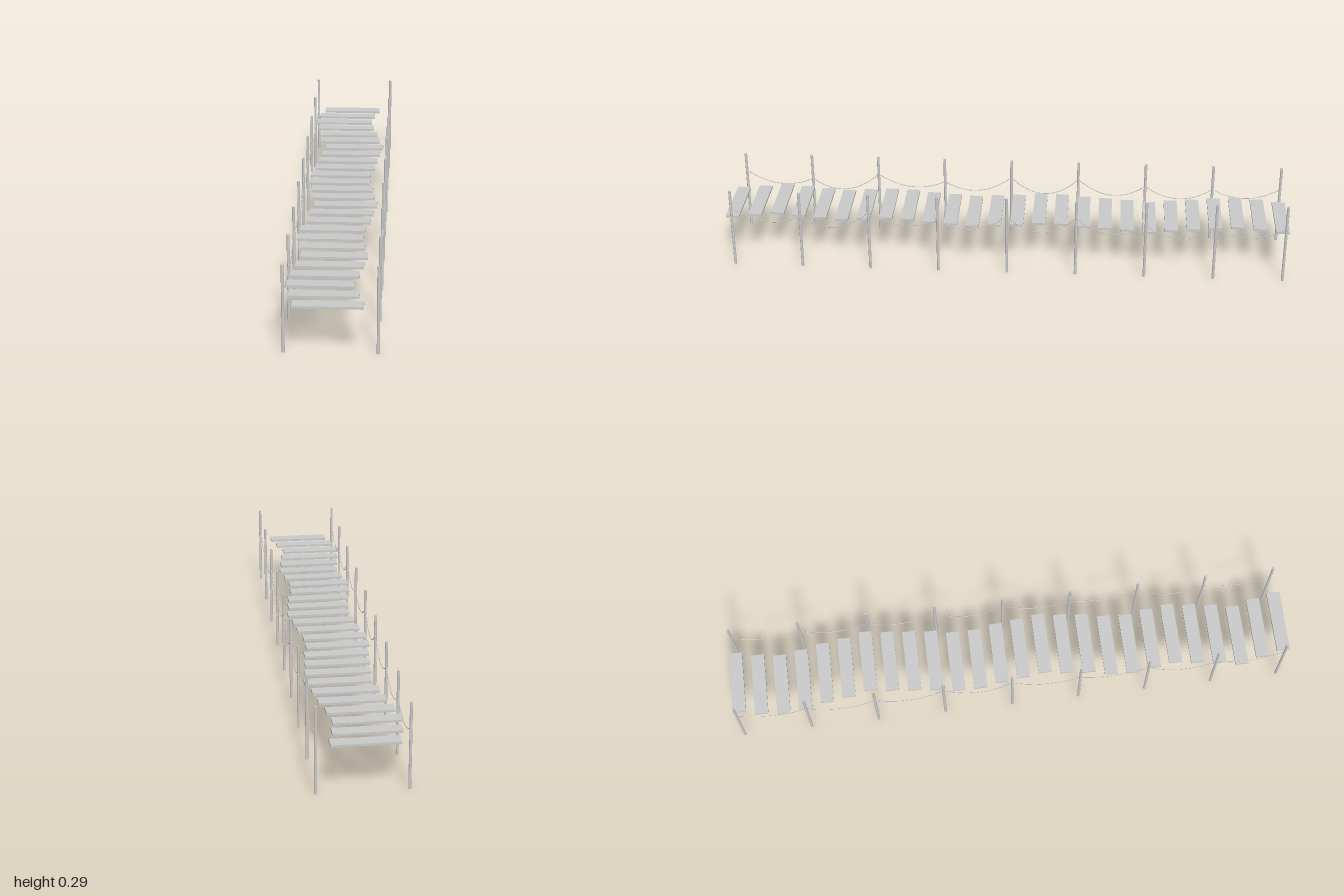
import * as THREE from 'three';

const material = new THREE.MeshStandardMaterial({ color: 0xcccccc });
const flat = new THREE.MeshStandardMaterial({ color: 0xcccccc, flatShading: true });

const POST_X = 0.147, POST_H = 0.295, POST_COUNT = 9;
const postZ = (i) => 0.968 - i * 0.2438;

// Sideways shift of each plank, from back to front
const SHIFTS = [-0.008, -0.024, -0.034, -0.024, -0.008, 0.002, 0.018, 0.008, 0, -0.008, -0.021, -0.021, -0.008,
  0, 0.01, 0, -0.008, -0.024, -0.029, -0.018, -0.008, -0.018, -0.029, -0.043, -0.024, -0.008];

// Height at which the ropes are tied to each post, and the sag of each span
const TIES = [0.225, 0.2, 0.225, 0.202, 0.226, 0.226, 0.205, 0.2, 0.207];
const SAGS = [0.036, 0.052, 0.036, 0.044, 0.062, 0.05, 0.044, 0.036, 0.034];

function add(group, name, geometry, mat, x, y, z) {
  const mesh = new THREE.Mesh(geometry, mat);
  mesh.name = name;
  mesh.position.set(x, y, z);
  group.add(mesh);
  return mesh;
}

// One rope span hanging as a parabola between neighbouring posts
function ropeSpan(i) {
  const points = [];
  for (let k = 0; k <= 8; k++) {
    const t = k / 8;
    points.push(new THREE.Vector3(0,
      THREE.MathUtils.lerp(TIES[i], TIES[i + 1], t) - 4 * SAGS[i] * t * (1 - t),
      THREE.MathUtils.lerp(postZ(i), postZ(i + 1), t)));
  }
  return new THREE.TubeGeometry(new THREE.CatmullRomCurve3(points), 20, 0.0013, 6);
}

export function createModel() {
  const model = new THREE.Group();
  model.name = 'plankBridge';

  // Staggered deck planks
  const deck = new THREE.Group();
  deck.name = 'deck';
  const plank = new THREE.BoxGeometry(0.222, 0.008, 0.047);
  SHIFTS.forEach((x, i) => add(deck, 'plank', plank, material, x, 0.167, -0.9765 + i * 0.07812));

  // Posts and hanging ropes along both sides
  const post = new THREE.CylinderGeometry(0.0048, 0.0048, POST_H, 8);
  for (const side of [-1, 1]) {
    const railing = new THREE.Group();
    railing.name = side > 0 ? 'leftRailing' : 'rightRailing';
    for (let i = 0; i < POST_COUNT; i++) {
      add(railing, 'post', post, flat, side * POST_X, POST_H / 2, postZ(i));
      if (i < POST_COUNT - 1) add(railing, 'rope', ropeSpan(i), material, side * POST_X, 0, 0);
    }
    model.add(railing);
  }

  model.add(deck);
  return model;
}
